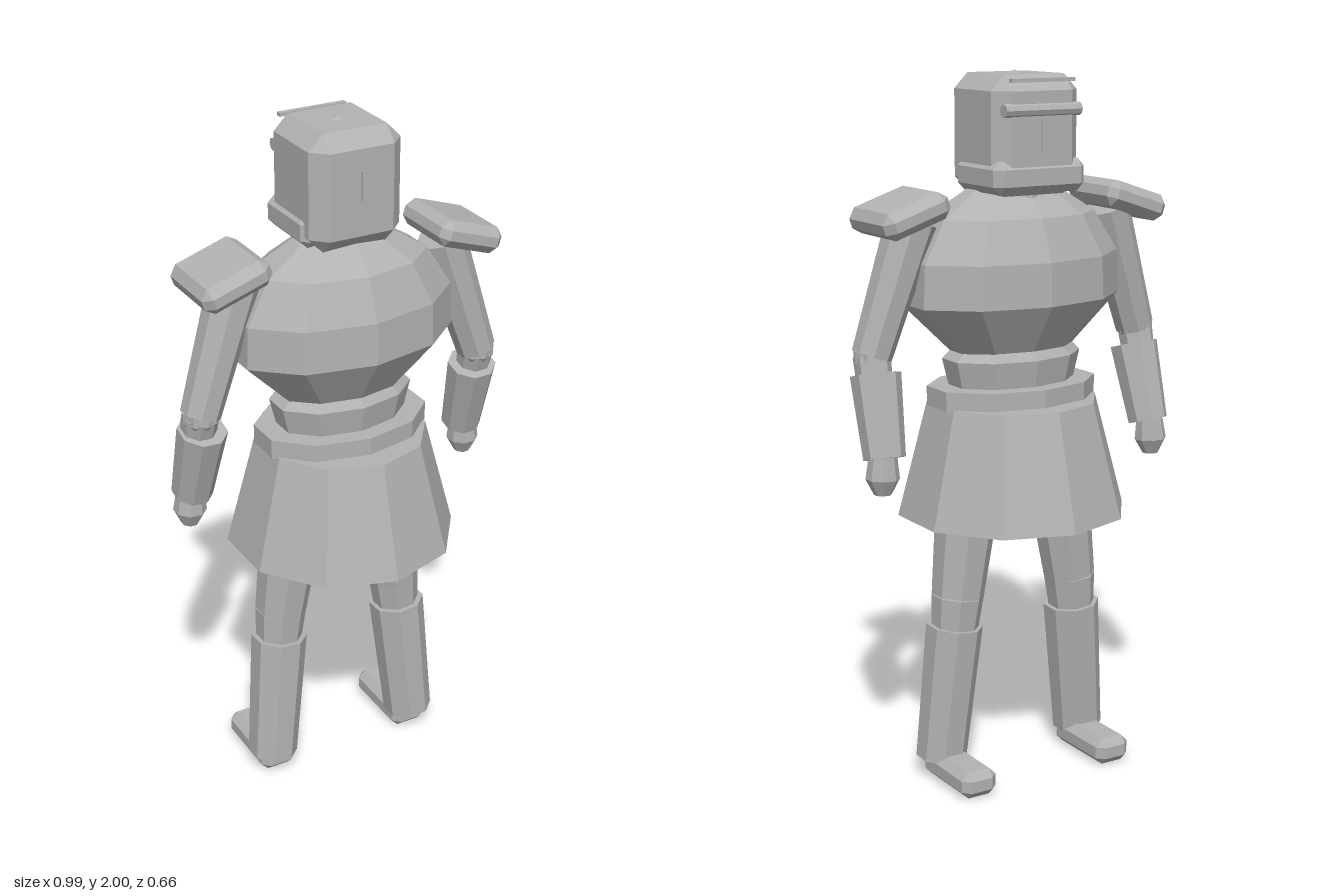
import * as THREE from 'three';
import { ConvexGeometry } from 'three/addons/geometries/ConvexGeometry.js';

const V = (x, y, z) => new THREE.Vector3(x, y, z);

export function createModel() {
  const root = new THREE.Group();
  root.name = 'armoredFigure';
  const grey = new THREE.MeshStandardMaterial({ color: 0xb2b2b2, flatShading: true });
  grey.name = 'plain grey';

  function add(name, geo, x = 0, y = 0, z = 0) {
    const m = new THREE.Mesh(geo, grey);
    m.name = name;
    m.position.set(x, y, z);
    root.add(m);
    return m;
  }

  // box with all edges and corners cut off
  function chamferBox(w, h, d, c) {
    const pts = [], s = [-1, 1];
    for (const i of s) for (const j of s) for (const k of s) {
      const a = w / 2, b = h / 2, e = d / 2;
      pts.push(V(i * a, j * (b - c), k * (e - c)));
      pts.push(V(i * (a - c), j * b, k * (e - c)));
      pts.push(V(i * (a - c), j * (b - c), k * e));
    }
    return new ConvexGeometry(pts);
  }

  // tapered eight-sided tube from point a to point b
  function limb(name, a, b, ra, rb, sides = 8) {
    const dir = a.clone().sub(b);
    const geo = new THREE.CylinderGeometry(ra, rb, dir.length(), sides);
    geo.rotateY(Math.PI / sides);
    const m = add(name, geo);
    m.position.copy(a).add(b).multiplyScalar(0.5);
    m.quaternion.setFromUnitVectors(V(0, 1, 0), dir.normalize());
    return m;
  }

  // ten-sided body shell, profile listed bottom to top
  function shell(name, profile, depth) {
    const geo = new THREE.LatheGeometry(profile.map(p => new THREE.Vector2(p[0], p[1])), 10);
    geo.scale(1, 1, depth);
    return add(name, geo);
  }

  // torso, waist, belt and skirt
  shell('torso', [[0, 1.22], [0.18, 1.228], [0.333, 1.375], [0.328, 1.495],
    [0.255, 1.61], [0.13, 1.685], [0, 1.69]], 0.62);
  shell('waist', [[0, 1.09], [0.188, 1.12], [0.212, 1.215], [0.185, 1.24], [0, 1.24]], 0.64);
  shell('belt', [[0, 1.085], [0.257, 1.085], [0.257, 1.14], [0, 1.14]], 0.68);
  shell('skirt', [[0, 0.765], [0.33, 0.765], [0.245, 1.09], [0, 1.09]], 1);

  // head, with the face on the -z side
  add('neck', new THREE.CylinderGeometry(0.09, 0.1, 0.1, 8), 0, 1.68, -0.01);
  add('helmet', chamferBox(0.272, 0.322, 0.275, 0.042), 0, 1.831, -0.019);
  add('jawGuard', chamferBox(0.29, 0.09, 0.228, 0.022), 0, 1.722, -0.047);
  add('helmetTip', new THREE.ConeGeometry(0.037, 0.014, 8), 0, 1.993, -0.015);
  add('rearRidge', new THREE.BoxGeometry(0.006, 0.08, 0.012), 0, 1.85, 0.119);
  add('noseRidge', new THREE.BoxGeometry(0.008, 0.08, 0.01), 0, 1.83, -0.157);
  const brow = add('browBar', new THREE.CylinderGeometry(0.018, 0.018, 0.24, 8), 0, 1.9, -0.152);
  brow.rotation.z = Math.PI / 2;
  add('visorEdge', new THREE.BoxGeometry(0.2, 0.01, 0.016), 0, 1.978, -0.155);

  for (const s of [1, -1]) {
    const side = s > 0 ? 'left' : 'right';

    // arm
    const elbow = V(s * 0.435, 1.25, 0.015);
    limb(side + 'UpperArm', V(s * 0.315, 1.61, 0), elbow, 0.07, 0.056);
    add(side + 'Elbow', new THREE.SphereGeometry(0.054, 8, 5), elbow.x, elbow.y, elbow.z);
    limb(side + 'Forearm', elbow, V(s * 0.443, 0.98, -0.055), 0.052, 0.04);
    limb(side + 'Bracer', V(s * 0.428, 1.2, 0.008), V(s * 0.438, 0.98, -0.055), 0.07, 0.058);
    const hand = limb(side + 'Hand', V(s * 0.443, 0.995, -0.055), V(s * 0.446, 0.925, -0.057), 0.038, 0.047);
    hand.updateMatrix();
    limb(side + 'Fingers', V(s * 0.446, 0.926, -0.057), V(s * 0.447, 0.882, -0.058), 0.047, 0.024);

    // shoulder plate
    const plate = add(side + 'Pauldron', chamferBox(0.205, 0.076, 0.238, 0.024), s * 0.353, 1.632, -0.002);
    plate.rotation.z = -s * 0.32;

    // leg
    const knee = V(s * 0.19, 0.54, -0.016);
    limb(side + 'Thigh', V(s * 0.148, 0.85, -0.01), knee, 0.093, 0.075);
    limb(side + 'Knee', knee, V(s * 0.2, 0.43, -0.014), 0.075, 0.066);
    limb(side + 'ShinGuard', V(s * 0.199, 0.452, -0.012), V(s * 0.236, 0.055, 0.005), 0.082, 0.073);
    add(side + 'Foot', chamferBox(0.11, 0.078, 0.25, 0.022), s * 0.227, 0.039, -0.085);
  }

  return root;
}
